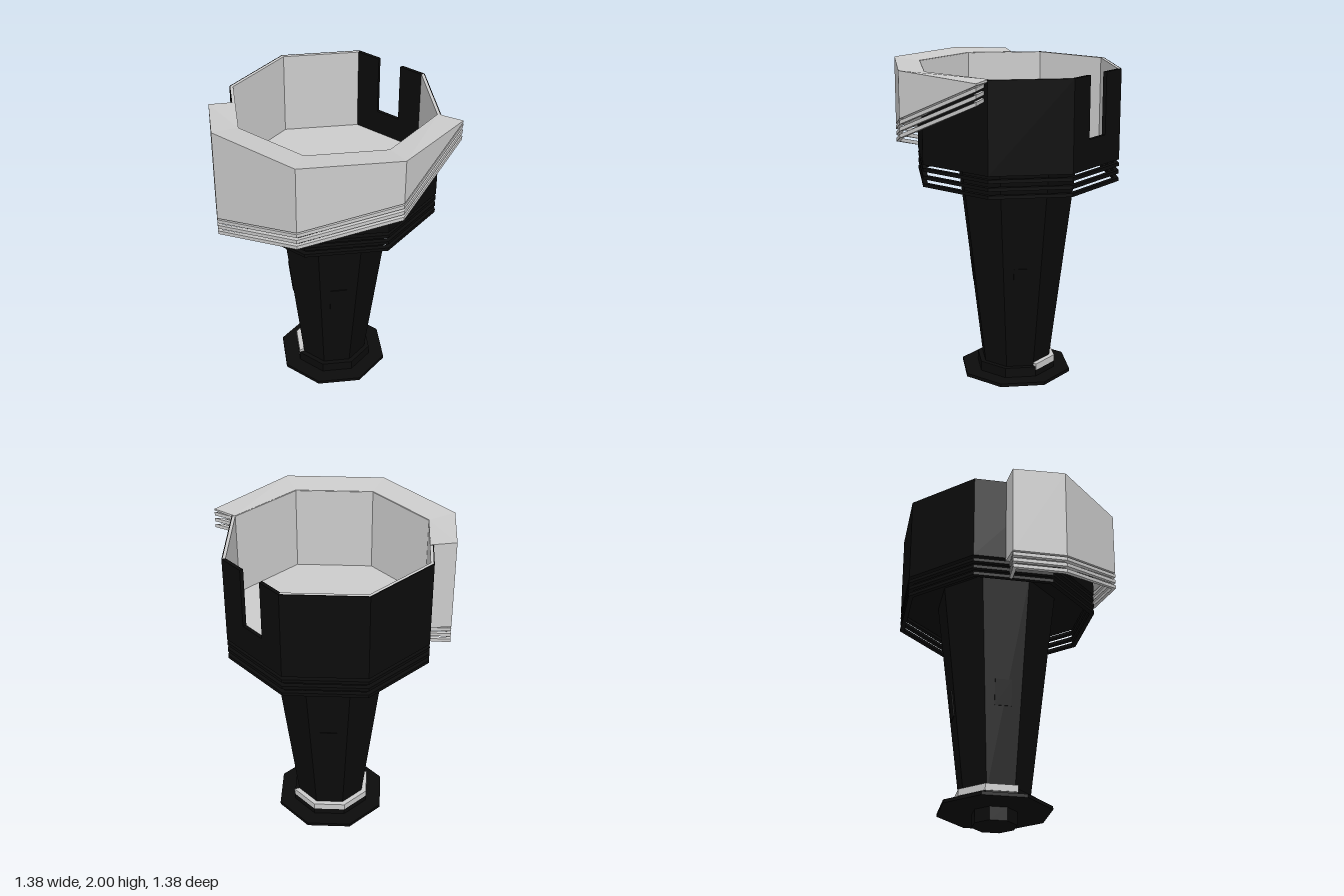
import * as THREE from 'three';

const black = new THREE.MeshStandardMaterial({ color: 0x0b0b0b, flatShading: true, side: THREE.DoubleSide });
const grey = new THREE.MeshStandardMaterial({ color: 0xcccccc, flatShading: true, side: THREE.DoubleSide });

// Point on an octagon of radius r; k counts corners from +x towards +z
function pt(r, k, y) {
  const i = Math.floor(k), f = k - i;
  const corner = (n) => new THREE.Vector3(r * Math.cos(n * Math.PI / 4), y, r * Math.sin(n * Math.PI / 4));
  return corner(i).lerp(corner(i + 1), f);
}

// Solid through a row of convex cross-sections, capped at both ends
function loft(sections) {
  const n = sections[0].length, tris = [];
  for (let s = 0; s < sections.length - 1; s++) {
    for (let i = 0; i < n; i++) {
      const j = (i + 1) % n, a = sections[s], b = sections[s + 1];
      tris.push([a[i], a[j], b[j]], [a[i], b[j], b[i]]);
    }
  }
  const first = sections[0], last = sections[sections.length - 1];
  for (let i = 1; i < n - 1; i++) {
    tris.push([first[0], first[i + 1], first[i]], [last[0], last[i], last[i + 1]]);
  }
  // Turn all faces outwards
  const volume = tris.reduce((v, [a, b, c]) => v + a.dot(b.clone().cross(c)), 0);
  if (volume < 0) tris.forEach((t) => t.reverse());
  const geo = new THREE.BufferGeometry().setFromPoints(tris.flat());
  geo.computeVertexNormals();
  return geo;
}

// Rectangular cross-section at corner position k
const rect = (k, rIn, rOut, y0, y1) => [pt(rOut, k, y0), pt(rIn, k, y0), pt(rIn, k, y1), pt(rOut, k, y1)];
const arc = (ks, rIn, rOut, y0, y1) => loft(ks.map((k) => rect(k, rIn, rOut, y0, y1)));

export function createModel() {
  const model = new THREE.Group();
  const body = new THREE.Group();
  body.name = 'tower';
  body.position.set(0.06, 0, -0.07);
  model.add(body);

  const add = (name, geo, mat) => {
    const mesh = new THREE.Mesh(geo, mat);
    mesh.name = name;
    body.add(mesh);
    return mesh;
  };
  const prism = (name, rTop, rBottom, y0, y1, mat = black) => {
    const mesh = add(name, new THREE.CylinderGeometry(rTop, rBottom, y1 - y0, 8), mat);
    mesh.position.y = (y0 + y1) / 2;
  };

  // Foot and tapered pillar
  prism('foot', 0.135, 0.135, 0, 0.085);
  prism('flange', 0.345, 0.345, 0.08, 0.1);
  prism('collar', 0.245, 0.245, 0.1, 0.16);
  prism('pillar', 0.375, 0.213, 0.15, 1.46);
  add('collarBand', arc([4, 5, 6, 7, 8], 0.2, 0.248, 0.14, 0.18), grey);

  // Thin panels on every second pillar face
  for (let q = 0; q < 4; q++) {
    const holder = new THREE.Group();
    holder.name = 'pillarPanel';
    holder.rotation.y = -Math.PI / 8 + q * Math.PI / 2;
    const panel = new THREE.Mesh(new THREE.BoxGeometry(0.012, 0.16, 0.1), black);
    panel.position.set(0.262, 0.73, 0);
    panel.rotation.z = -0.114;
    holder.add(panel);
    body.add(holder);
  }

  // Bowl: dark skin, light liner and floor
  const seven = [0, 1, 2, 3, 4, 5, 6, 7];
  add('bowlWall', arc(seven, 0.614, 0.62, 1.45, 1.98), black);
  add('bowlLiner', arc(seven, 0.597, 0.614, 1.46, 1.98), grey);
  prism('bowlBase', 0.615, 0.615, 1.45, 1.46);
  prism('bowlFloor', 0.6, 0.6, 1.46, 1.47, grey);

  // Slotted face of the bowl
  add('slotSideA', arc([7, 7.33], 0.597, 0.62, 1.45, 1.98), black);
  add('slotSideB', arc([7.67, 8], 0.597, 0.62, 1.45, 1.98), black);
  add('slotSill', arc([7.33, 7.67], 0.597, 0.62, 1.45, 1.62), black);

  // Hoops below the bowl
  const full = [0, 1, 2, 3, 4, 5, 6, 7, 8];
  for (const y of [1.32, 1.365, 1.41]) add('lowerHoop', arc(full, 0.59, 0.62, y, y + 0.02), black);

  // Wrapped shell: outer position, inner position, bottom height, top height
  const stations = [
    [1.05, 1, 1.97, 1.98],
    [2, 2, 1.73, 2],
    [3, 3, 1.59, 2],
    [4, 4, 1.43, 2],
    [4.55, 4.6, 1.43, 1.99],
  ];
  add('shell', loft(stations.map(([ko, ki, y0, y1]) => [
    pt(0.76, ko, y0), pt(0.612, ki, y0), pt(0.6, ki, 1.983), pt(0.76, ko, y1),
  ])), grey);

  // Slanted bars under the shell, hooked back to the bowl at both ends
  for (const drop of [0.032, 0.071, 0.11]) {
    add('shellBar', loft(stations.map(([k, , y]) => rect(k, 0.735, 0.76, y - drop, y - drop + 0.022))), grey);
    for (const [k0, k1, y] of [[1.05, 1.09, 1.97], [4.51, 4.55, 1.43]]) {
      add('shellBarHook', arc([k0, k1], 0.615, 0.74, y - drop, y - drop + 0.02), grey);
    }
  }

  return model;
}
